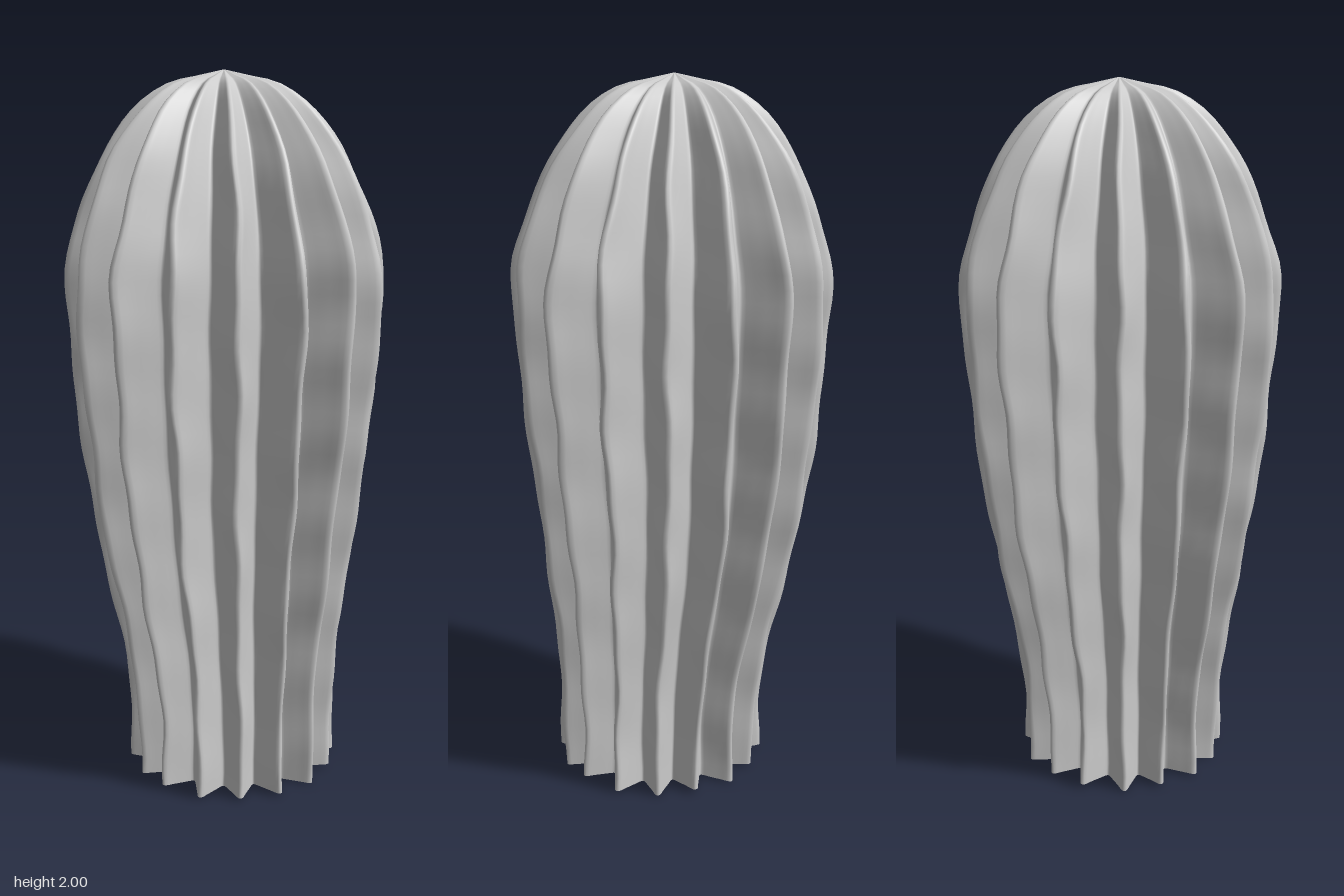
import * as THREE from 'three';

const RIBS = 16;
const ROWS = 56;
const PHASE = THREE.MathUtils.degToRad(8.5);

// Height and ridge radius, from the open foot to the crown
const PROFILE = [
  [0.3, 0.01], [0.302, 0.2], [0.322, 0.4], [0.358, 0.6], [0.39, 0.8], [0.415, 1.0],
  [0.434, 1.2], [0.446, 1.4], [0.44, 1.5], [0.412, 1.6], [0.375, 1.7], [0.325, 1.8],
  [0.235, 1.91], [0.15, 1.966], [0.07, 1.985], [0.002, 2.0],
];

// One rib across: position within the pitch, fraction of the ridge radius
const HALF_RIB = [[0, 1], [0.05, 0.992], [0.09, 0.966], [0.13, 0.93], [0.22, 0.868], [0.32, 0.812], [0.41, 0.765], [0.46, 0.748]];
const RIB = [
  ...HALF_RIB,
  [0.5, 0.742],
  ...HALF_RIB.slice(1).reverse().map(([u, r]) => [1 - u, r]),
];

// Smooth, repeatable waviness that differs from rib to rib
function wave(y, k) {
  return 0.6 * Math.sin(y * 13 + k * 2.4) + 0.4 * Math.sin(y * 27 + k * 4.1);
}

function ribbedBody() {
  const curve = new THREE.CatmullRomCurve3(PROFILE.map(([r, y]) => new THREE.Vector3(r, y, 0)));
  const profile = curve.getSpacedPoints(ROWS);
  const columns = RIBS * RIB.length;
  const positions = [];
  const indices = [];

  profile.forEach(({ x: radius, y }, row) => {
    // The stem leans slightly at the foot
    const lean = 0.035 * (1 - THREE.MathUtils.smoothstep(y, 0.1, 0.9)) - 0.008 * THREE.MathUtils.smoothstep(y, 1.5, 2);
    const fade = Math.min(1, radius / 0.3);
    for (let k = 0; k < RIBS; k++) {
      for (const [u, r] of RIB) {
        // Blend the waviness of this rib into the next one
        const w = THREE.MathUtils.lerp(wave(y, k), wave(y, (k + 1) % RIBS), u);
        const v = THREE.MathUtils.lerp(wave(y + 3, k), wave(y + 3, (k + 1) % RIBS), u);
        const angle = PHASE + ((k + u) / RIBS) * Math.PI * 2 + 0.017 * w;
        const rr = radius * r + 0.005 * v * fade;
        const rim = row === 0 ? 0.008 * w : 0;
        positions.push(lean + rr * Math.cos(angle), y + rim, rr * Math.sin(angle));
      }
    }
  });

  for (let i = 0; i < ROWS; i++) {
    for (let j = 0; j < columns; j++) {
      const next = (j + 1) % columns;
      const a = i * columns + j, b = i * columns + next;
      const c = a + columns, d = b + columns;
      indices.push(a, c, b, b, c, d);
    }
  }

  const geometry = new THREE.BufferGeometry();
  geometry.setAttribute('position', new THREE.Float32BufferAttribute(positions, 3));
  geometry.setIndex(indices);
  geometry.computeVertexNormals();
  return geometry;
}

export function createModel() {
  const group = new THREE.Group();
  group.name = 'cactus';
  // Hollow ribbed stem, open at the foot
  const material = new THREE.MeshStandardMaterial({ color: 0xcccccc, side: THREE.DoubleSide });
  const stem = new THREE.Mesh(ribbedBody(), material);
  stem.name = 'ribbedStem';
  group.add(stem);
  return group;
}
